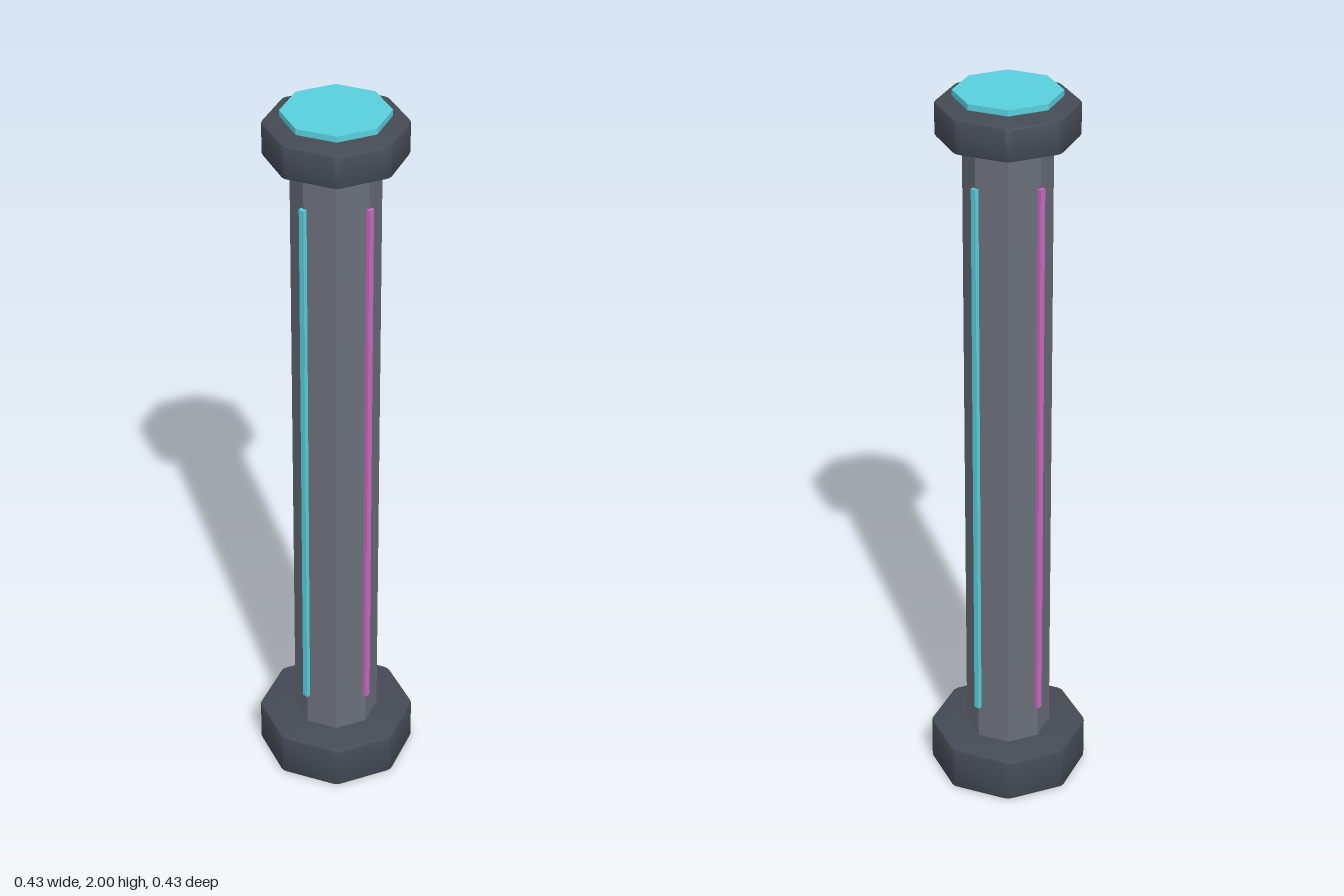
import * as THREE from 'three';
import { toCreasedNormals } from 'three/addons/utils/BufferGeometryUtils.js';

const paint = (color, flatShading = false) => new THREE.MeshStandardMaterial({ color, flatShading });

// Octagon with corners on the axes, each corner slightly rounded
function octagon(radius, round) {
  const corner = (i) => {
    const a = (i * Math.PI) / 4;
    return new THREE.Vector2(Math.cos(a) * radius, Math.sin(a) * radius);
  };
  const shape = new THREE.Shape();
  for (let i = 0; i < 8; i++) {
    const c = corner(i);
    const dirIn = corner(i - 1).sub(c).setLength(round);
    const dirOut = corner(i + 1).sub(c).setLength(round);
    const p = c.clone().add(dirIn);
    const q = c.clone().add(dirOut);
    if (i === 0) shape.moveTo(p.x, p.y);
    else shape.lineTo(p.x, p.y);
    shape.quadraticCurveTo(c.x, c.y, q.x, q.y);
  }
  shape.closePath();
  return shape;
}

// Octagonal collar with softened edges, from y0 to y1
function collar(name, radius, y0, y1, material) {
  const bevel = 0.006;
  const geometry = new THREE.ExtrudeGeometry(octagon(radius - bevel, 0.01), {
    depth: y1 - y0 - 2 * bevel,
    bevelSize: bevel,
    bevelThickness: bevel,
    bevelSegments: 2,
    curveSegments: 3,
  });
  geometry.rotateX(-Math.PI / 2).translate(0, y0 + bevel, 0);
  const mesh = new THREE.Mesh(toCreasedNormals(geometry, 0.6), material);
  mesh.name = name;
  return mesh;
}

// Plain eight-sided prism from y0 to y1
function prism(name, radius, y0, y1, material) {
  const mesh = new THREE.Mesh(new THREE.CylinderGeometry(radius, radius, y1 - y0, 8), material);
  mesh.position.y = (y0 + y1) / 2;
  mesh.name = name;
  return mesh;
}

export function createModel() {
  const model = new THREE.Group();
  model.name = 'pillar';
  const dark = paint(0x454a54);
  const cyan = paint(0x58d0de, true);
  const magenta = paint(0xc868c0, true);

  // Column with its base and capital
  model.add(collar('base', 0.215, 0, 0.125, dark));
  model.add(prism('shaft', 0.115, 0.1, 1.9, paint(0x6a6e79, true)));
  model.add(collar('capital', 0.185, 1.88, 1.97, dark));

  // Glowing plate hovering just above the capital
  model.add(prism('topPlate', 0.139, 1.984, 2, cyan));

  // Light strips on the diagonal edges, alternating in colour
  const stripGeometry = new THREE.BoxGeometry(0.016, 1.55, 0.014);
  for (let i = 0; i < 4; i++) {
    const angle = Math.PI / 4 + (i * Math.PI) / 2;
    const strip = new THREE.Mesh(stripGeometry, i % 2 ? cyan : magenta);
    strip.name = 'lightStrip' + (i + 1);
    strip.position.set(Math.sin(angle) * 0.116, 0.995, Math.cos(angle) * 0.116);
    strip.rotation.y = angle;
    model.add(strip);
  }
  return model;
}
